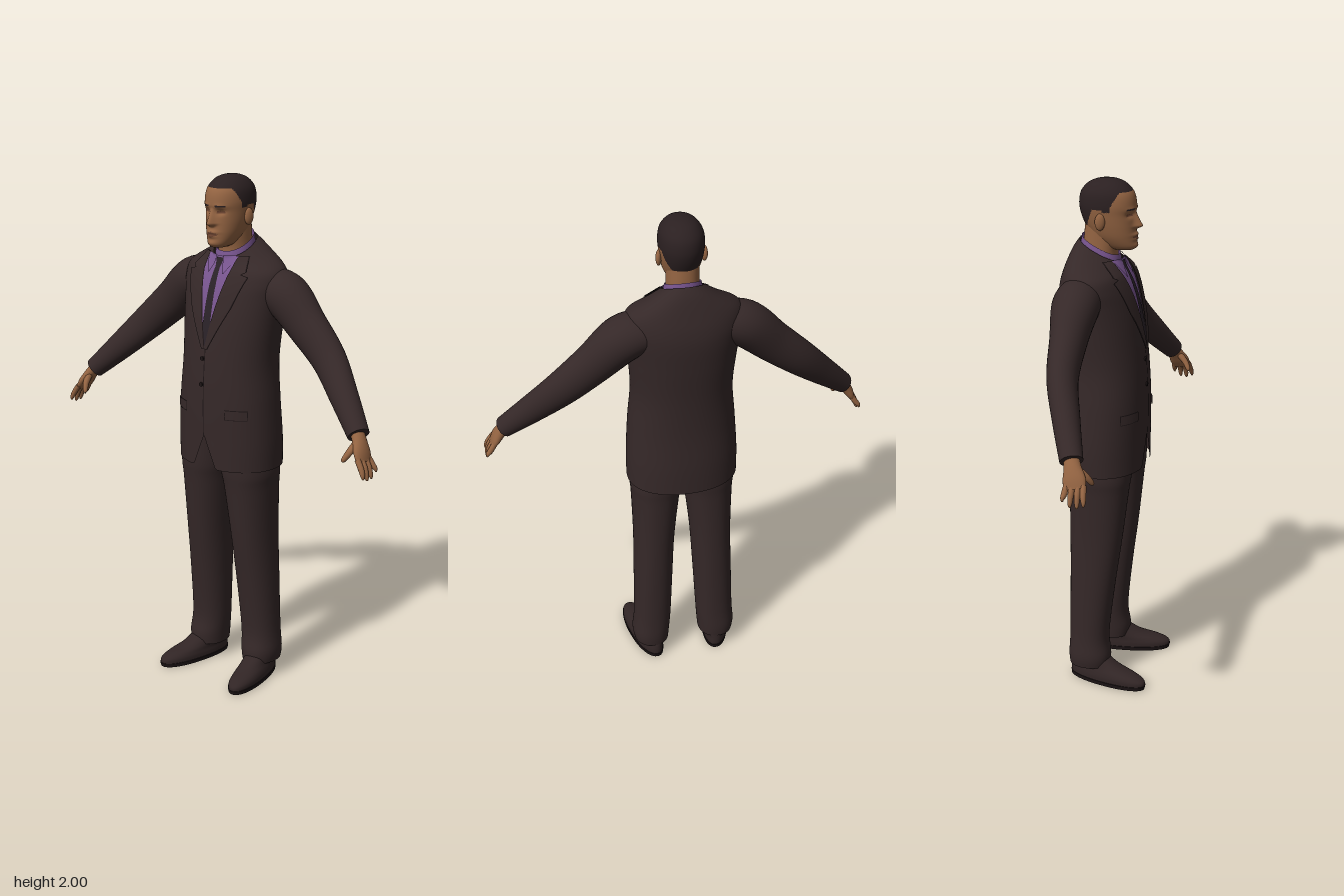
import * as THREE from 'three';

const mat = (name, color) => {
  const m = new THREE.MeshStandardMaterial({ color, side: THREE.DoubleSide });
  m.name = name;
  return m;
};

// Smooth interpolation of a table of rows, t from 0 to 1
function sample(keys, t) {
  const f = Math.min(Math.max(t, 0), 1) * (keys.length - 1);
  const i = Math.min(Math.floor(f), keys.length - 2), u = f - i;
  const row = k => keys[Math.min(Math.max(k, 0), keys.length - 1)];
  return keys[0].map((_, c) => {
    const [a, b, d, e] = [row(i - 1)[c], row(i)[c], row(i + 1)[c], row(i + 2)[c]];
    return b + 0.5 * u * (d - a + u * (2 * a - 5 * b + 4 * d - e + u * (3 * (b - d) + e - a)));
  });
}

// Skin over rings of points, with separate cap vertices at both ends
function loft(rings, caps = true) {
  const n = rings[0].length, pos = rings.flat(2), index = [];
  for (let j = 0; j < rings.length - 1; j++) for (let i = 0; i < n; i++) {
    const a = j * n + i, b = j * n + (i + 1) % n;
    index.push(a, b, b + n, a, b + n, a + n);
  }
  if (caps) [rings[0], rings[rings.length - 1]].forEach((ring, end) => {
    const base = pos.length / 3;
    pos.push(...ring.flat(), ...[0, 1, 2].map(k => ring.reduce((s, p) => s + p[k], 0) / n));
    for (let i = 0; i < n; i++) {
      const a = base + i, b = base + (i + 1) % n;
      index.push(base + n, end ? a : b, end ? b : a);
    }
  });
  const g = new THREE.BufferGeometry();
  g.setAttribute('position', new THREE.Float32BufferAttribute(pos, 3));
  g.setIndex(index);
  g.computeVertexNormals();
  return g;
}

const pw = (v, e) => Math.sign(v) * Math.abs(v) ** e;

// Upright body from rows of [y, half width, front z, back z, tilt, centre x]
function stack(keys, { n = 48, rows = 32, p = 2.2, caps = true, move = q => q } = {}) {
  const rings = [];
  for (let j = 0; j <= rows; j++) {
    const [y, w, zf, zb, tilt = 0, xc = 0] = sample(keys, j / rows);
    rings.push(Array.from({ length: n }, (_, i) => {
      const a = i / n * Math.PI * 2, dz = (zf - zb) / 2 * pw(Math.cos(a), 2 / p);
      return move([xc + w * pw(Math.sin(a), 2 / p), y - tilt * dz, (zf + zb) / 2 + dz]);
    }));
  }
  return loft(rings, caps);
}

// Limb along rows of [x, y, z, radius in the xy plane, radius along z]
function limb(keys, n = 24, rows = 24) {
  const rings = [];
  for (let j = 0; j <= rows; j++) {
    const t = j / rows, [x, y, z, ru, rv] = sample(keys, t);
    const T = new THREE.Vector3(...sample(keys, t + 0.01)).sub(new THREE.Vector3(...sample(keys, t - 0.01))).normalize();
    const V = new THREE.Vector3(0, 0, 1).addScaledVector(T, -T.z).normalize();
    const U = T.clone().cross(V);
    rings.push(Array.from({ length: n }, (_, i) => {
      const a = i / n * Math.PI * 2;
      return new THREE.Vector3(x, y, z).addScaledVector(U, ru * Math.sin(a)).addScaledVector(V, rv * Math.cos(a)).toArray();
    }));
  }
  return loft(rings);
}

function mirror(geo) {
  const g = geo.clone().scale(-1, 1, 1), ix = g.index.array;
  for (let i = 0; i < ix.length; i += 3) [ix[i], ix[i + 1]] = [ix[i + 1], ix[i]];
  g.computeVertexNormals();
  return g;
}

const TORSO = [
  [0.89, 0.215, 0.14, -0.182, 0], [1.0, 0.215, 0.141, -0.18, 0], [1.15, 0.206, 0.142, -0.172, 0],
  [1.3, 0.194, 0.135, -0.174, 0], [1.45, 0.204, 0.117, -0.185, 0], [1.55, 0.215, 0.096, -0.19, 0],
  [1.61, 0.222, 0.078, -0.184, 0.03], [1.66, 0.205, 0.06, -0.168, 0.12],
  [1.705, 0.13, 0.046, -0.145, 0.35], [1.735, 0.078, 0.036, -0.122, 0.5]];

// Front surface of the jacket at (x, y)
function chestZ(x, y) {
  let lo = 0, hi = 1, z = 0;
  for (let k = 0; k < 24; k++) {
    const t = (lo + hi) / 2, [Y, w, zf, zb, tilt] = sample(TORSO, t);
    const dz = (zf - zb) / 2 * (1 - Math.min(Math.abs(x) / w, 1) ** 2.2) ** (1 / 2.2);
    z = (zf + zb) / 2 + dz;
    if (Y - tilt * dz < y) lo = t; else hi = t;
  }
  return z;
}

// Thin cloth panel on the chest, rows of [y, x0, x1] from top to bottom
function panel(keys, offset, side = 1) {
  const pos = [], index = [], C = 8, S = 8;
  for (let r = 0; r <= (keys.length - 1) * S; r++) {
    const k = Math.min(Math.floor(r / S), keys.length - 2), u = r / S - k;
    const [y, a, b] = keys[k].map((v, c) => v + (keys[k + 1][c] - v) * u);
    const x0 = side > 0 ? a : -b, x1 = side > 0 ? b : -a;
    for (let c = 0; c <= C; c++) {
      const x = x0 + (x1 - x0) * c / C, i = r * (C + 1) + c;
      pos.push(x, y, chestZ(x, y) + offset);
      if (r < (keys.length - 1) * S && c < C) index.push(i, i + C + 1, i + C + 2, i, i + C + 2, i + 1);
    }
  }
  const g = new THREE.BufferGeometry();
  g.setAttribute('position', new THREE.Float32BufferAttribute(pos, 3));
  g.setIndex(index);
  g.computeVertexNormals();
  return g;
}

// Nose, brow, eye sockets and lips pushed into the front of the head
function face([x, y, z]) {
  if (z < 0.02) return [x, y, z];
  const bump = (cx, cy, sx, sy) => Math.exp(-(((Math.abs(x) - cx) / sx) ** 2) - ((y - cy) / sy) ** 2);
  const ny = y > 1.828 ? Math.max(0, 1 - (y - 1.828) / 0.058) : Math.max(0, 1 - (1.828 - y) / 0.014);
  const nose = 0.029 * ny * Math.exp(-((x / (0.009 + 0.008 * ny)) ** 2));
  return [x, y, z + nose + 0.004 * bump(0.03, 1.893, 0.026, 0.009) - 0.009 * bump(0.032, 1.872, 0.016, 0.011)
    + 0.008 * bump(0, 1.796, 0.024, 0.007) + 0.007 * bump(0, 1.781, 0.02, 0.007) + 0.005 * bump(0, 1.755, 0.02, 0.01)];
}

// Material slot of a point on the head: 0 skin, 1 hair, 2 lips and lids, 3 brows
function headSlot(x, y, z) {
  const ax = Math.abs(x);
  const line = z > 0.045 ? 1.958 : z > 0.015 ? 1.905 + (z - 0.015) * 1.75 : z > -0.015 ? 1.885
    : z > -0.055 ? 1.893 : Math.max(1.783, 1.893 + (z + 0.055) * 2.4);
  if (y > line) return 1;
  if (z < 0.03) return 0;
  if (ax < 0.025 && Math.abs(y - 1.788) < 0.011 * (1 - ax / 0.03)) return 2;
  if (Math.abs(ax - 0.032) < 0.014 && Math.abs(y - 1.872) < 0.004) return 2;
  if (Math.abs(ax - 0.033) < 0.018 && Math.abs(y - 1.893) < 0.003) return 3;
  return 0;
}

export function createModel() {
  const man = new THREE.Group();
  man.name = 'suitedMan';
  const suit = mat('suit cloth', 0x352828), seam = mat('seams', 0x1c1415), shirt = mat('shirt', 0x78558f);
  const tie = mat('tie', 0x2a2228), skin = mat('skin', 0x946442), lips = mat('lips and lids', 0x6b4330);
  const hair = mat('hair', 0x2b2021), shoe = mat('shoe leather', 0x312525);
  const add = (name, geo, m) => {
    const mesh = new THREE.Mesh(geo, m);
    mesh.name = name;
    man.add(mesh);
    return mesh;
  };
  const pair = (name, geo, m) => {
    add(name + 'Left', geo, m);
    add(name + 'Right', mirror(geo), m);
  };

  // Jacket, open below the last button
  add('jacket', stack(TORSO, {
    n: 120, rows: 72, caps: false,
    move: ([x, y, z]) => {
      const cut = z > 0 ? 0.13 * Math.max(0, 1 - Math.abs(x) / 0.055) : 0;
      return [x, y < 1.04 ? y + cut * (1.04 - y) / 0.15 : y, z];
    }
  }), suit);
  add('shirtFront', panel([[1.7, -0.075, 0.075], [1.64, -0.064, 0.064], [1.52, -0.037, 0.037], [1.37, -0.004, 0.004]], 0.003), shirt);
  add('tie', panel([[1.695, -0.018, 0.018], [1.66, -0.011, 0.011], [1.6, -0.015, 0.015], [1.44, -0.018, 0.018], [1.37, -0.004, 0.004]], 0.007), tie);
  const lapel = [[1.705, 0.07, 0.1], [1.655, 0.064, 0.125], [1.645, 0.062, 0.108], [1.638, 0.06, 0.138], [1.52, 0.033, 0.095], [1.36, 0, 0.012]];
  for (const s of [1, -1]) {
    const side = s > 0 ? 'Left' : 'Right';
    add('shirtCollarWing' + side, panel([[1.705, 0.016, 0.07], [1.67, 0.02, 0.055], [1.64, 0.033, 0.037]], 0.009, s), shirt);
    add('lapelEdge' + side, panel(lapel.map(([y, a, b]) => [y, a - 0.002, b + 0.003]), 0.008, s), seam);
    add('lapel' + side, panel(lapel, 0.011, s), suit);
    add('pocketEdge' + side, panel([[1.137, 0.095, 0.172], [1.097, 0.095, 0.172]], 0.003, s), seam);
    add('pocketFlap' + side, panel([[1.134, 0.096, 0.171], [1.1, 0.096, 0.171]], 0.005, s), suit);
  }
  add('frontSeam', panel([[1.37, -0.002, 0.002], [1.02, -0.002, 0.002]], 0.002), seam);
  for (const y of [1.32, 1.22]) {
    const b = add('button', new THREE.CylinderGeometry(0.008, 0.008, 0.006, 16).rotateX(Math.PI / 2), seam);
    b.position.set(-0.012, y, chestZ(0, y) + 0.002);
  }

  // Neck and shirt collar, higher at the back
  add('neck', stack([[1.64, 0.064, 0.025, -0.11], [1.72, 0.061, 0.02, -0.108], [1.78, 0.06, 0.03, -0.106], [1.84, 0.06, 0.03, -0.1]], { rows: 12 }), skin);
  add('shirtCollar', stack([[1.69, 0.075, 0.036, -0.118, 0.5], [1.73, 0.07, 0.033, -0.117, 0.5], [1.752, 0.066, 0.028, -0.114, 0.5]], { rows: 8, caps: false }), shirt);

  // Head, with hair and features as face groups
  const head = stack([[1.737, 0.024, 0.08, 0], [1.75, 0.043, 0.094, -0.035], [1.785, 0.062, 0.093, -0.075], [1.825, 0.073, 0.091, -0.1],
    [1.87, 0.08, 0.089, -0.118], [1.91, 0.083, 0.092, -0.124], [1.95, 0.077, 0.082, -0.116], [1.98, 0.057, 0.055, -0.09],
    [1.995, 0.031, 0.024, -0.056], [2.0, 0.004, -0.008, -0.022]], { n: 120, rows: 110, p: 2.1, move: face });
  const slots = [[], [], [], []], P = head.attributes.position, ix = head.index.array;
  for (let i = 0; i < ix.length; i += 3) {
    const t = [ix[i], ix[i + 1], ix[i + 2]], mid = f => t.reduce((s, v) => s + f.call(P, v), 0) / 3;
    slots[headSlot(mid(P.getX), mid(P.getY), mid(P.getZ))].push(...t);
  }
  head.setIndex(slots.flat());
  let start = 0;
  slots.forEach((s, k) => { head.addGroup(start, s.length, k); start += s.length; });
  add('head', head, [skin, hair, lips, hair]);
  pair('ear', new THREE.SphereGeometry(1, 16, 12).scale(0.011, 0.032, 0.019).rotateY(-0.3).translate(0.083, 1.85, -0.022), skin);

  // Sleeves and hands
  pair('sleeve', limb([[0.12, 1.59, -0.07, 0.07, 0.08], [0.225, 1.563, -0.07, 0.088, 0.088], [0.335, 1.465, -0.062, 0.08, 0.068],
    [0.45, 1.363, -0.045, 0.07, 0.057], [0.56, 1.253, 0.005, 0.056, 0.05], [0.668, 1.145, 0.06, 0.04, 0.042]], 32, 40), suit);
  pair('palm', limb([[0.655, 1.16, 0.055, 0.024, 0.026], [0.68, 1.125, 0.068, 0.022, 0.032], [0.7, 1.09, 0.08, 0.019, 0.042], [0.715, 1.06, 0.088, 0.012, 0.038]], 20, 12), skin);
  [[0.056, 0.05, 1.02], [0.077, 0.077, 1.002], [0.098, 0.102, 1.0], [0.117, 0.126, 1.01]].forEach(([z0, z1, y], k) => pair('finger' + (k + 1),
    limb([[0.708, 1.075, z0, 0.011, 0.011], [0.728, 1.045, (z0 + z1) / 2, 0.011, 0.011], [0.739, y + 0.012, z1, 0.008, 0.008], [0.742, y, z1, 0.003, 0.003]], 12, 10), skin));
  pair('thumb', limb([[0.678, 1.12, 0.085, 0.016, 0.014], [0.668, 1.092, 0.114, 0.013, 0.012], [0.656, 1.066, 0.13, 0.009, 0.009], [0.653, 1.058, 0.133, 0.003, 0.003]], 12, 10), skin);

  // Trouser legs, rows of [y, inner x, outer x, front z, back z]
  const leg = [[0.065, 0.066, 0.206, 0.03, -0.13], [0.11, 0.062, 0.212, 0.034, -0.133], [0.2, 0.055, 0.205, 0.025, -0.13], [0.4, 0.045, 0.2, 0.046, -0.13],
    [0.6, 0.034, 0.196, 0.073, -0.131], [0.8, 0.012, 0.2, 0.096, -0.135], [0.88, -0.002, 0.204, 0.106, -0.14], [1.02, -0.004, 0.185, 0.11, -0.14]]
    .map(([y, a, b, f, k]) => [y, (b - a) / 2, f, k, 0, (a + b) / 2]);
  pair('trouserLeg', stack(leg, { rows: 40 }), suit);

  // Shoes, toes turned out
  const turn = ([x, y, z]) => [x + (z - 0.03) * 0.18, y, z];
  pair('shoeSole', stack([[0, 0.056, 0.19, -0.13, 0, 0.155], [0.016, 0.058, 0.194, -0.132, 0, 0.155]], { rows: 1, move: turn }), seam);
  pair('shoe', stack([[0.014, 0.055, 0.192, -0.13, 0, 0.155], [0.032, 0.055, 0.188, -0.13, 0, 0.155], [0.048, 0.052, 0.155, -0.128, 0, 0.154],
    [0.068, 0.049, 0.085, -0.124, 0, 0.15], [0.1, 0.046, 0.025, -0.115, 0, 0.148]], { rows: 16, move: turn }), shoe);
  return man;
}
